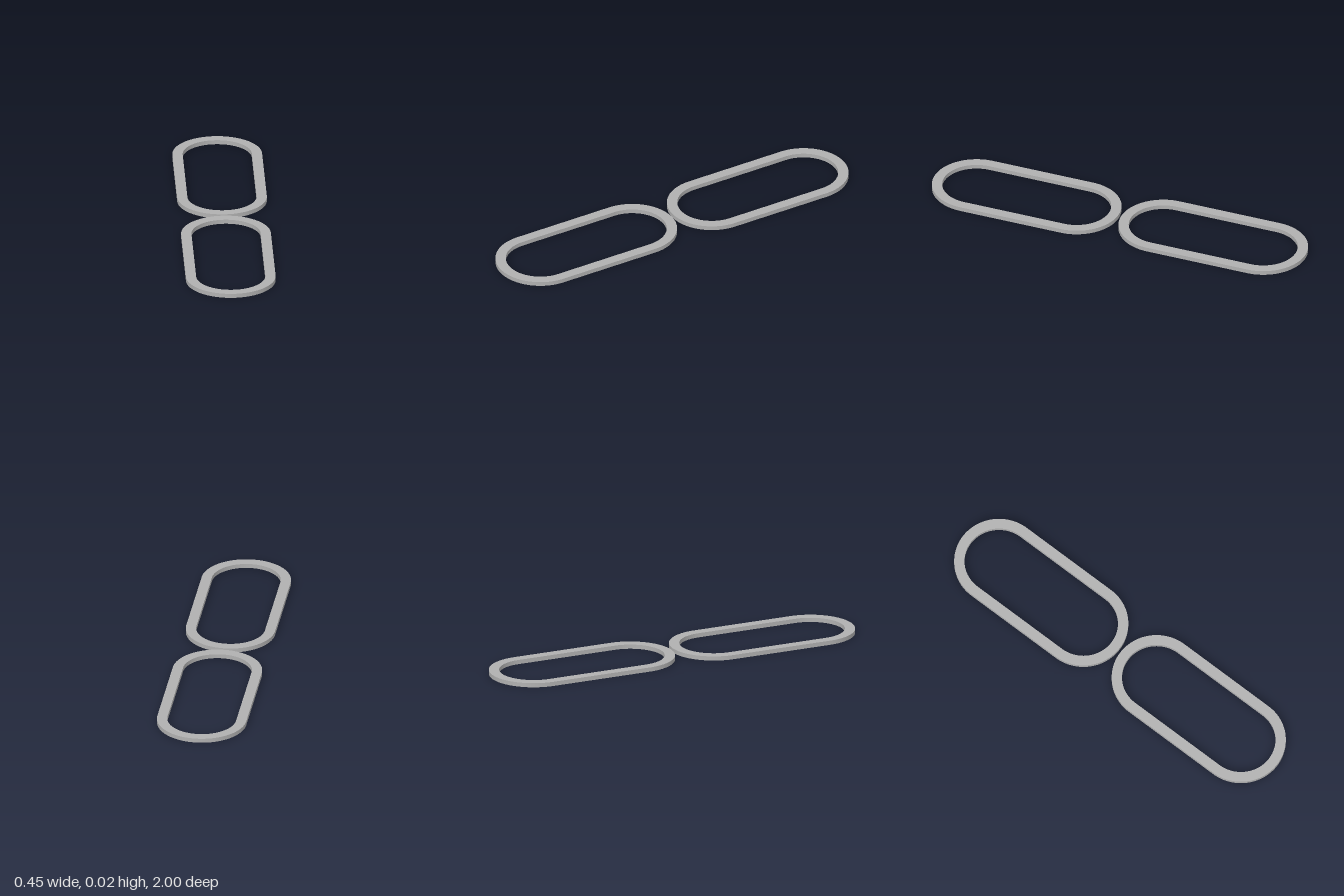
import * as THREE from 'three';

const HALF_WIDTH = 0.226, BAND = 0.052, HEIGHT = 0.022;
const INNER_END = 0.008, OUTER_END = 1;

// Stadium outline: two half circles joined by straight sides
function stadium(path, radius, halfStraight) {
  path.absarc(0, halfStraight, radius, 0, Math.PI, false);
  path.absarc(0, -halfStraight, radius, Math.PI, Math.PI * 2, false);
  path.closePath();
  return path;
}

export function createModel() {
  const group = new THREE.Group();
  group.name = 'twoLinks';

  const metal = new THREE.MeshStandardMaterial({ color: 0xb0b0b0 });
  metal.name = 'grey metal';

  // Flat link with a stadium-shaped opening
  const halfStraight = (OUTER_END - INNER_END) / 2 - HALF_WIDTH;
  const shape = stadium(new THREE.Shape(), HALF_WIDTH, halfStraight);
  shape.holes.push(stadium(new THREE.Path(), HALF_WIDTH - BAND, halfStraight));
  const geometry = new THREE.ExtrudeGeometry(shape, {
    depth: HEIGHT, bevelEnabled: false, curveSegments: 48,
  });
  geometry.rotateX(-Math.PI / 2);

  // Smooth the curved walls: the normal points away from the nearest arc centre
  const pos = geometry.attributes.position, nor = geometry.attributes.normal;
  for (let i = 0; i < pos.count; i++) {
    if (Math.abs(nor.getY(i)) > 0.5) continue;
    const x = pos.getX(i), z = pos.getZ(i);
    const dz = z - THREE.MathUtils.clamp(z, -halfStraight, halfStraight);
    const r = Math.hypot(x, dz);
    const sign = r > HALF_WIDTH - BAND / 2 ? 1 : -1;
    nor.setXYZ(i, sign * x / r, 0, sign * dz / r);
  }

  // Front and back links, end to end
  for (const [name, side] of [['frontLink', 1], ['backLink', -1]]) {
    const link = new THREE.Mesh(geometry, metal);
    link.name = name;
    link.position.z = side * (INNER_END + OUTER_END) / 2;
    group.add(link);
  }
  return group;
}
